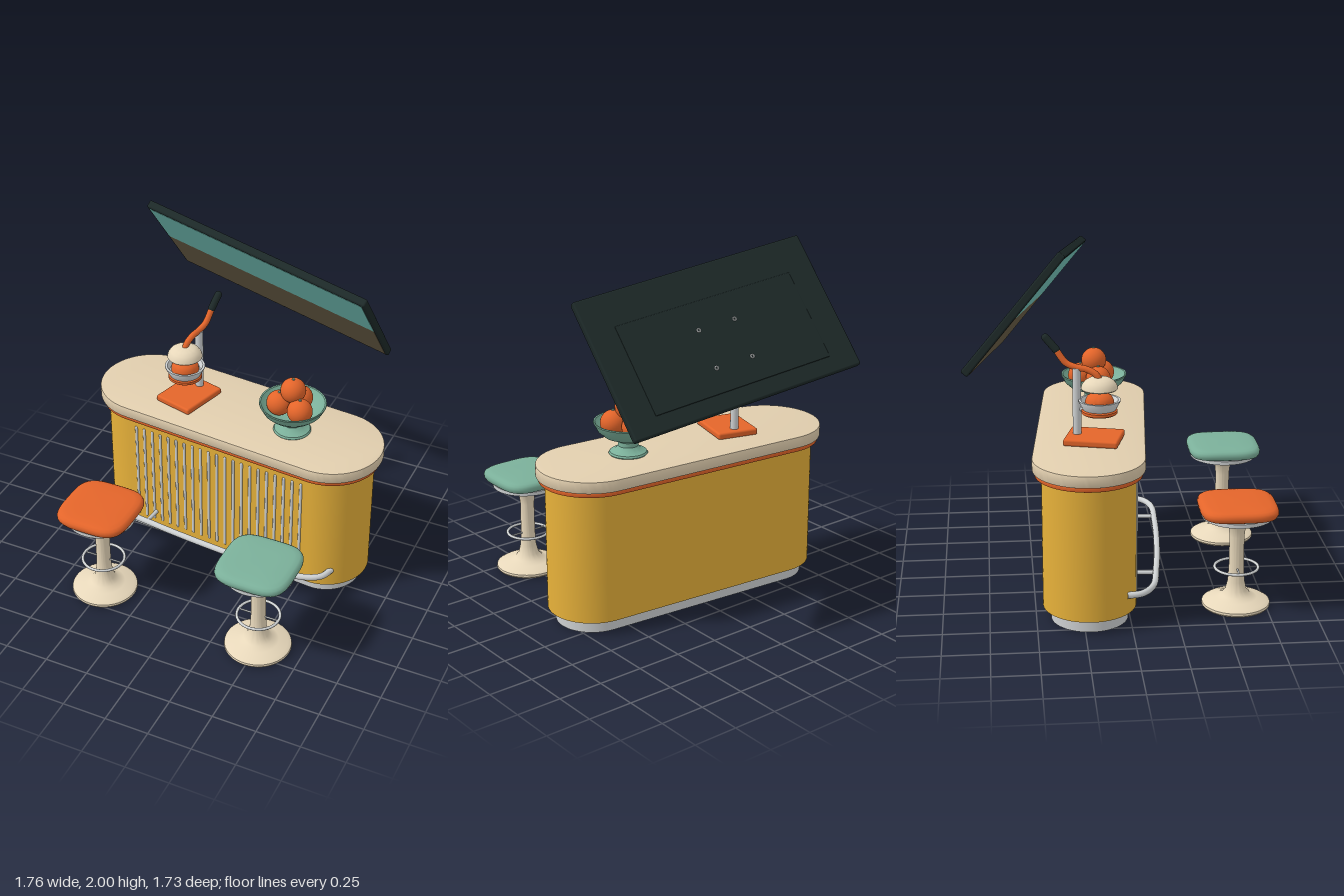
import * as THREE from 'three';
import { toCreasedNormals } from 'three/addons/utils/BufferGeometryUtils.js';
import { RoundedBoxGeometry } from 'three/addons/geometries/RoundedBoxGeometry.js';

const mat = (name, color) => {
  const m = new THREE.MeshStandardMaterial({ color });
  m.name = name;
  return m;
};

export function createModel() {
  const gold = mat('gold', 0xe8b23a), stone = mat('stone', 0xe1ceae), cream = mat('cream', 0xeedec0);
  const orange = mat('orange', 0xe4652a), green = mat('green', 0x7bb09a), metal = mat('metal', 0xcfd2d3);
  const dark = mat('dark', 0x1d2928), teal = mat('teal', 0x78c8bd), brown = mat('brown', 0x6b5f47);

  const root = new THREE.Group();
  const group = (name, x, y, z, turn = 0) => {
    const g = new THREE.Group();
    g.name = name;
    g.position.set(x, y, z);
    g.rotation.y = turn;
    root.add(g);
    return g;
  };
  const add = (parent, name, geo, material, x = 0, y = 0, z = 0) => {
    const m = new THREE.Mesh(geo, material);
    m.name = name;
    m.position.set(x, y, z);
    parent.add(m);
    return m;
  };
  const lathe = (pts, seg = 48) =>
    toCreasedNormals(new THREE.LatheGeometry(pts.map(p => new THREE.Vector2(...p)), seg), 0.6);
  const tube = (pts, r, seg = 48) =>
    new THREE.TubeGeometry(new THREE.CatmullRomCurve3(pts.map(p => new THREE.Vector3(...p))), seg, r, 12);
  // round bar with domed ends between two points
  const bar = (parent, name, a, b, r, material) => {
    const p = new THREE.Vector3(...a), q = new THREE.Vector3(...b), d = q.clone().sub(p);
    const m = add(parent, name, new THREE.CapsuleGeometry(r, d.length() - 2 * r, 4, 14), material);
    m.position.copy(p).add(q).multiplyScalar(0.5);
    m.quaternion.setFromUnitVectors(new THREE.Vector3(0, 1, 0), d.normalize());
    return m;
  };

  // ---- Counter: stacked slabs with semicircular ends ----
  const counter = group('counter', 0, 0, -0.162, -0.09);
  const H = 0.582;
  const slab = (name, r, y0, y1, material, bevel) => {
    const s = new THREE.Shape();
    s.absarc(H, 0, r - bevel, -Math.PI / 2, Math.PI / 2);
    s.absarc(-H, 0, r - bevel, Math.PI / 2, Math.PI * 1.5);
    s.closePath();
    const g = new THREE.ExtrudeGeometry(s, {
      depth: y1 - y0 - 2 * bevel, curveSegments: 28, bevelEnabled: bevel > 0,
      bevelThickness: bevel, bevelSize: bevel, bevelSegments: 2,
    });
    g.rotateX(-Math.PI / 2);
    add(counter, name, toCreasedNormals(g, 0.5), material, 0, y0 + bevel, 0);
  };
  slab('plinth', 0.207, 0, 0.078, metal, 0);
  slab('body', 0.25, 0.075, 0.812, gold, 0);
  slab('trimBand', 0.285, 0.81, 0.838, orange, 0.004);
  slab('countertop', 0.298, 0.836, 0.902, stone, 0.006);

  // vertical rods on the front
  for (let i = 0; i < 21; i++) {
    const x = -0.535 + i * 0.0535;
    bar(counter, 'frontRod', [x, 0.122, 0.248], [x, 0.757, 0.248], 0.009, metal);
  }

  // foot rail and its brackets
  add(counter, 'footRail', tube([
    [-0.72, 0.18, 0.2], [-0.695, 0.18, 0.28], [-0.6, 0.18, 0.338], [-0.35, 0.18, 0.36], [0, 0.18, 0.368],
    [0.35, 0.18, 0.36], [0.6, 0.18, 0.338], [0.695, 0.18, 0.28], [0.72, 0.18, 0.2],
  ], 0.018, 80), metal);
  for (const s of [-1, 1])
    bar(counter, 'railBracket', [s * 0.415, 0.18, 0.23], [s * 0.415, 0.18, 0.358], 0.012, metal);

  // ---- Stools ----
  const seatGeometry = () => {
    const g = new THREE.LatheGeometry([
      [0, 0.54], [0.185, 0.542], [0.201, 0.549], [0.209, 0.563], [0.21, 0.577],
      [0.205, 0.59], [0.192, 0.599], [0.165, 0.604], [0.09, 0.607], [0, 0.608],
    ].map(p => new THREE.Vector2(...p)), 64);
    const p = g.attributes.position, n = 3.8;
    // push the round outline out to a soft square
    for (let i = 0; i < p.count; i++) {
      const x = p.getX(i), z = p.getZ(i), r = Math.hypot(x, z);
      if (r < 1e-6) continue;
      const k = Math.pow(Math.abs(x / r) ** n + Math.abs(z / r) ** n, -1 / n);
      p.setX(i, x * k);
      p.setZ(i, z * k);
    }
    return toCreasedNormals(g, 0.9);
  };
  const stool = (x, z, seatMaterial) => {
    const g = group('stool', x, 0, z);
    add(g, 'pedestal', lathe([
      [0, 0], [0.18, 0], [0.187, 0.01], [0.185, 0.022], [0.165, 0.034], [0.115, 0.046], [0.08, 0.062],
      [0.058, 0.09], [0.046, 0.14], [0.041, 0.22], [0.04, 0.4], [0.046, 0.45], [0.06, 0.48], [0.085, 0.5],
      [0.125, 0.513], [0.125, 0.518], [0, 0.518],
    ]), cream);
    add(g, 'seatPlate', new THREE.CylinderGeometry(0.193, 0.193, 0.022, 48), metal, 0, 0.528, 0);
    add(g, 'seat', seatGeometry(), seatMaterial);
    add(g, 'footRing', new THREE.TorusGeometry(0.118, 0.008, 10, 48).rotateX(Math.PI / 2), metal, 0, 0.22, 0);
    for (const s of [-1, 1]) bar(g, 'ringSpoke', [s * 0.03, 0.22, 0], [s * 0.12, 0.22, 0], 0.005, metal);
  };
  stool(-0.495, 0.59, orange);
  stool(0.495, 0.655, green);

  // ---- Lever juicer ----
  const press = group('juicePress', -0.317, 0.9, -0.168, -0.26);
  add(press, 'pressBase', new RoundedBoxGeometry(0.24, 0.038, 0.295, 3, 0.012), orange, 0, 0.021, 0);
  add(press, 'pressColumn', new THREE.CylinderGeometry(0.023, 0.023, 0.375, 24), metal, 0, 0.2175, -0.093);
  bar(press, 'bowlArm', [0, 0.18, -0.1], [0, 0.18, 0.02], 0.015, metal);
  const hz = 0.03;
  add(press, 'lowerRing', lathe([[0, 0.157], [0.088, 0.157], [0.096, 0.163], [0.096, 0.178], [0.088, 0.185], [0, 0.185]]),
    orange, 0, 0, hz);
  add(press, 'juiceBowl', lathe([[0, 0.183], [0.088, 0.183], [0.113, 0.23], [0.113, 0.236], [0.1, 0.236], [0.085, 0.21], [0, 0.21]]),
    metal, 0, 0, hz);
  add(press, 'reamer', lathe([[0.078, 0.208], [0.076, 0.235], [0.066, 0.255], [0.045, 0.268], [0.02, 0.274], [0, 0.275]]),
    orange, 0, 0, hz);
  add(press, 'pressDome', lathe([[0, 0.294], [0.094, 0.294], [0.099, 0.3], [0.094, 0.318], [0.08, 0.338],
    [0.058, 0.352], [0.03, 0.358], [0, 0.359]]), cream, 0, 0, hz);
  add(press, 'lever', tube([[0, 0.345, 0.03], [0, 0.375, 0.01], [0, 0.4, -0.04], [0, 0.41, -0.1],
    [0, 0.43, -0.15], [0, 0.5, -0.205]], 0.018), orange);
  bar(press, 'leverGrip', [0, 0.485, -0.19], [0, 0.58, -0.275], 0.021, dark);

  // ---- Fruit bowl ----
  const fruit = group('fruitBowl', 0.344, 0.9, -0.124);
  add(fruit, 'bowl', lathe([
    [0, 0.001], [0.1, 0.001], [0.106, 0.008], [0.1, 0.018], [0.07, 0.03], [0.055, 0.05], [0.055, 0.075], [0.065, 0.088],
    [0.095, 0.096], [0.132, 0.11], [0.165, 0.14], [0.187, 0.182], [0.186, 0.189], [0.178, 0.187], [0.157, 0.15],
    [0.12, 0.122], [0.07, 0.107], [0, 0.104],
  ]), green);
  for (const [x, y, z] of [[-0.074, 0.176, 0.02], [0.062, 0.176, 0.05], [0.012, 0.176, -0.076], [0, 0.267, 0]]) {
    add(fruit, 'fruit', new THREE.SphereGeometry(0.071, 32, 20), orange, x, y, z);
    add(fruit, 'fruitStem', new THREE.CylinderGeometry(0.007, 0.009, 0.008, 10), green, x, y + 0.072, z);
  }

  // ---- Tilted display panel ----
  const tv = group('display', 0.035, 1.594, -0.503);
  const u = new THREE.Vector3(1.355, -0.19, 0.19).normalize();
  const v = new THREE.Vector3(0.01, 0.625, 0.52);
  const n = u.clone().cross(v).normalize();
  v.copy(n).cross(u);
  tv.quaternion.setFromRotationMatrix(new THREE.Matrix4().makeBasis(u, v, n));
  add(tv, 'displayCase', new RoundedBoxGeometry(1.386, 0.79, 0.044, 3, 0.01), dark);
  const sw = 1.352, sh = 0.756, split = sh * 0.505;
  add(tv, 'screenUpper', new THREE.BoxGeometry(sw, split, 0.004), teal, 0, sh / 2 - split / 2, 0.0215);
  add(tv, 'screenLower', new THREE.BoxGeometry(sw, sh - split, 0.004), brown, 0, -split / 2, 0.0215);
  add(tv, 'backPlate', new RoundedBoxGeometry(1.07, 0.51, 0.016, 2, 0.004), dark, 0, -0.05, -0.018);
  for (const x of [-0.11, 0.11]) for (const y of [-0.11, 0.11])
    add(tv, 'mountHole', new THREE.TorusGeometry(0.009, 0.004, 8, 20), metal, x, y - 0.06, -0.027);

  return root;
}
